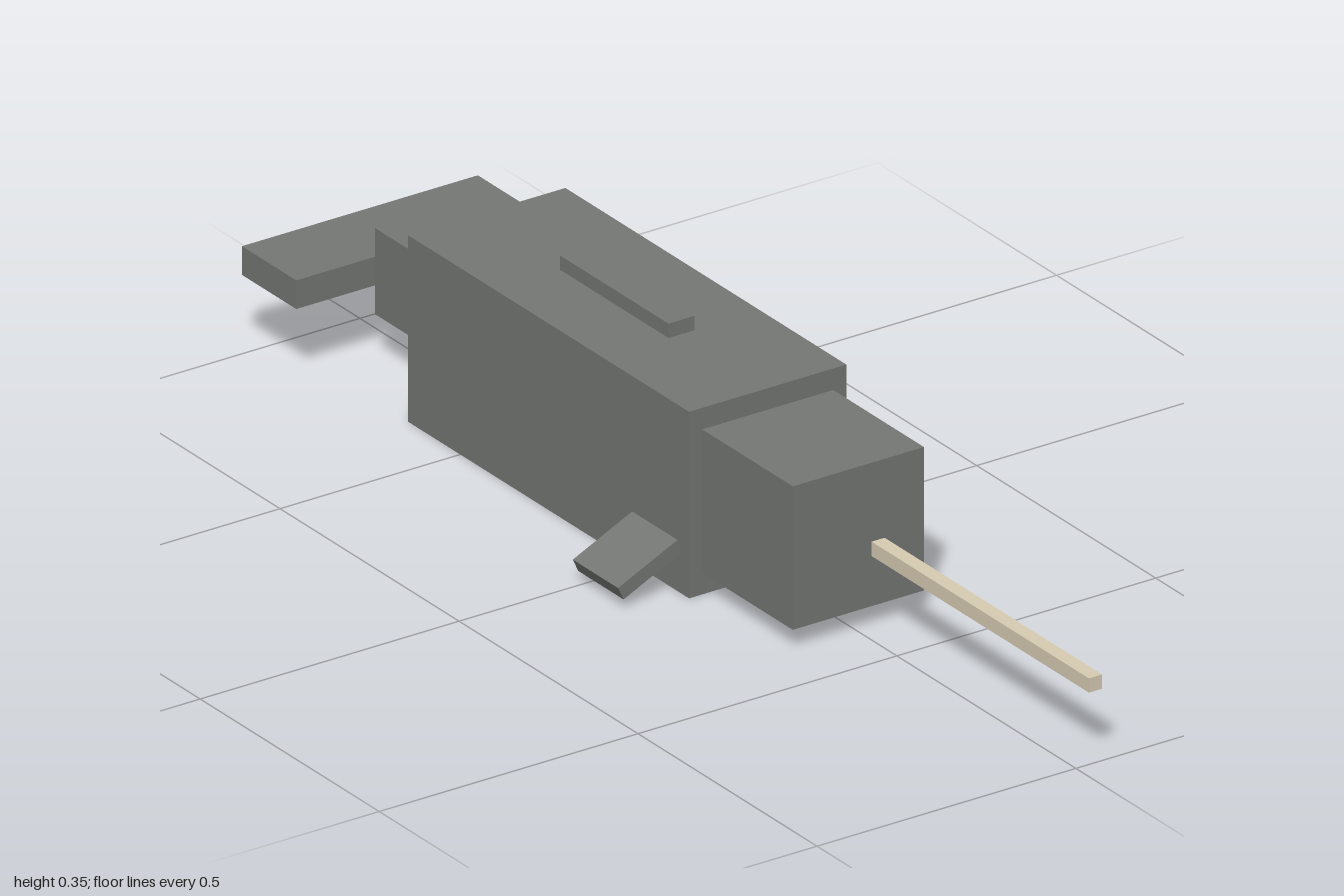
import * as THREE from 'three';

// One block unit: the whole animal is 79 units long and 2 world units
const U = 2 / 79;

export function createModel() {
  const model = new THREE.Group();
  model.name = 'narwhal';
  const skin = new THREE.MeshStandardMaterial({ color: 0x757875 });
  skin.name = 'grey skin';
  const belly = new THREE.MeshStandardMaterial({ color: 0xaaa39c });
  belly.name = 'pale belly';
  const ivory = new THREE.MeshStandardMaterial({ color: 0xd8ceb4 });
  ivory.name = 'ivory';

  // Box faces run +x, -x, +y, -y, +z, -z: only the underside is pale
  const paleBelow = [skin, skin, skin, belly, skin, skin];

  // Box given by its size and centre, in block units
  function block(name, size, centre, material) {
    const mesh = new THREE.Mesh(new THREE.BoxGeometry(...size.map((s) => s * U)), material);
    mesh.position.set(...centre.map((c) => c * U));
    mesh.name = name;
    model.add(mesh);
    return mesh;
  }

  // Main mass, from nose to tail
  block('head', [10, 10, 10], [0, 6.5, 10.5], paleBelow);
  block('body', [12, 13, 31], [0, 6.5, -10], paleBelow);
  block('tail', [6, 6, 8], [0, 6.5, -29.5], paleBelow);
  block('tailFluke', [18, 2, 6], [0, 6.5, -36.5], skin);
  block('dorsalRidge', [2, 1, 12], [0, 13.5, -10], skin);

  // Tusk, set off to the animal's left
  block('tusk', [1, 1, 24], [1.5, 5.5, 27.5], ivory);

  // Flippers slope down and outwards
  for (const side of [1, -1]) {
    const name = side > 0 ? 'leftFlipper' : 'rightFlipper';
    const flipper = block(name, [5, 1, 5], [side * 8.25, 2.22, 2], skin);
    flipper.rotation.z = -side * THREE.MathUtils.degToRad(25);
  }

  return model;
}
